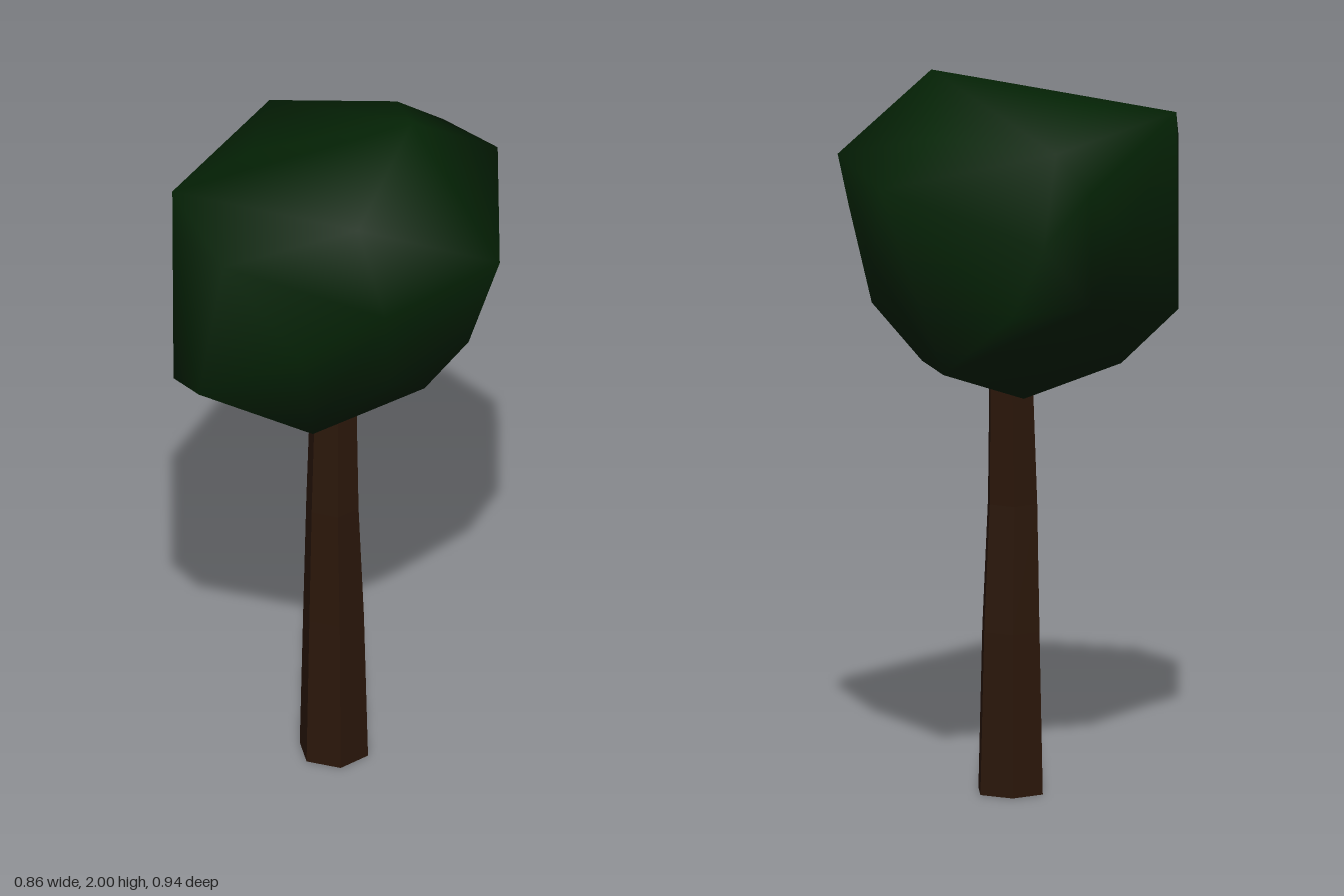
import * as THREE from 'three';
import { mergeVertices } from 'three/addons/utils/BufferGeometryUtils.js';
import { ConvexGeometry } from 'three/addons/geometries/ConvexGeometry.js';

// Six-sided open trunk: a unit cylinder whose rings are moved onto a bent, tapering spine
function createTrunk() {
  // each ring: y, centre x, centre z, radius x, radius z
  const rings = [
    [0, -0.01, 0.038, 0.098, 0.096],
    [0.45, -0.01, 0.04, 0.087, 0.085],
    [0.8, -0.01, 0.05, 0.075, 0.072],
    [1.15, -0.011, 0.039, 0.066, 0.065],
    [1.3, -0.011, 0.03, 0.062, 0.062],
  ];
  const steps = rings.length - 1;
  const geometry = new THREE.CylinderGeometry(1, 1, 1, 6, steps, true).rotateY(Math.PI / 6);
  const pos = geometry.attributes.position;
  for (let i = 0; i < pos.count; i++) {
    const [y, cx, cz, rx, rz] = rings[Math.round((pos.getY(i) + 0.5) * steps)];
    pos.setXYZ(i, cx + pos.getX(i) * rx, y, cz + pos.getZ(i) * rz);
  }
  const material = new THREE.MeshStandardMaterial({
    color: 0x2b170a, flatShading: true, side: THREE.DoubleSide,
  });
  const trunk = new THREE.Mesh(geometry, material);
  trunk.name = 'trunk';
  return trunk;
}

// Rough faceted crown: a hull around a few corners, shaded smoothly
function createCrown() {
  const corners = [
    // top
    [0.18, 2.0, -0.062], [0.165, 1.89, 0.335], [-0.23, 1.912, 0.09],
    [-0.3, 1.85, -0.257], [0.04, 1.875, -0.33], [-0.385, 1.87, 0.29],
    // upper sides
    [0.335, 1.8, -0.315], [0.125, 1.75, -0.47], [-0.175, 1.78, 0.47], [-0.35, 1.79, 0.37],
    // middle
    [0.43, 1.6, -0.065], [-0.43, 1.6, -0.07], [0.262, 1.66, 0.387], [0.03, 1.5, 0.425],
    [-0.295, 1.6, -0.32], [-0.385, 1.74, -0.215], [0.22, 1.5, -0.33],
    // lower sides
    [0.34, 1.325, -0.066], [0.28, 1.375, -0.22], [0.22, 1.35, 0.24], [-0.25, 1.345, 0.455],
    [-0.36, 1.31, 0.35], [-0.34, 1.335, 0.05], [-0.355, 1.41, -0.155], [-0.2, 1.4, -0.32],
    // underside
    [0.23, 1.18, -0.02], [-0.26, 1.178, 0.207], [0.042, 1.22, 0.355],
    [0, 1.225, -0.34], [-0.08, 1.105, -0.02],
  ];
  const hull = new ConvexGeometry(corners.map((c) => new THREE.Vector3(...c)));
  hull.deleteAttribute('normal');
  const geometry = mergeVertices(hull, 1e-4);
  geometry.computeVertexNormals();
  const crown = new THREE.Mesh(geometry, new THREE.MeshStandardMaterial({ color: 0x042305 }));
  crown.name = 'crown';
  return crown;
}

export function createModel() {
  const tree = new THREE.Group();
  tree.name = 'tree';
  tree.add(createTrunk(), createCrown());
  return tree;
}
